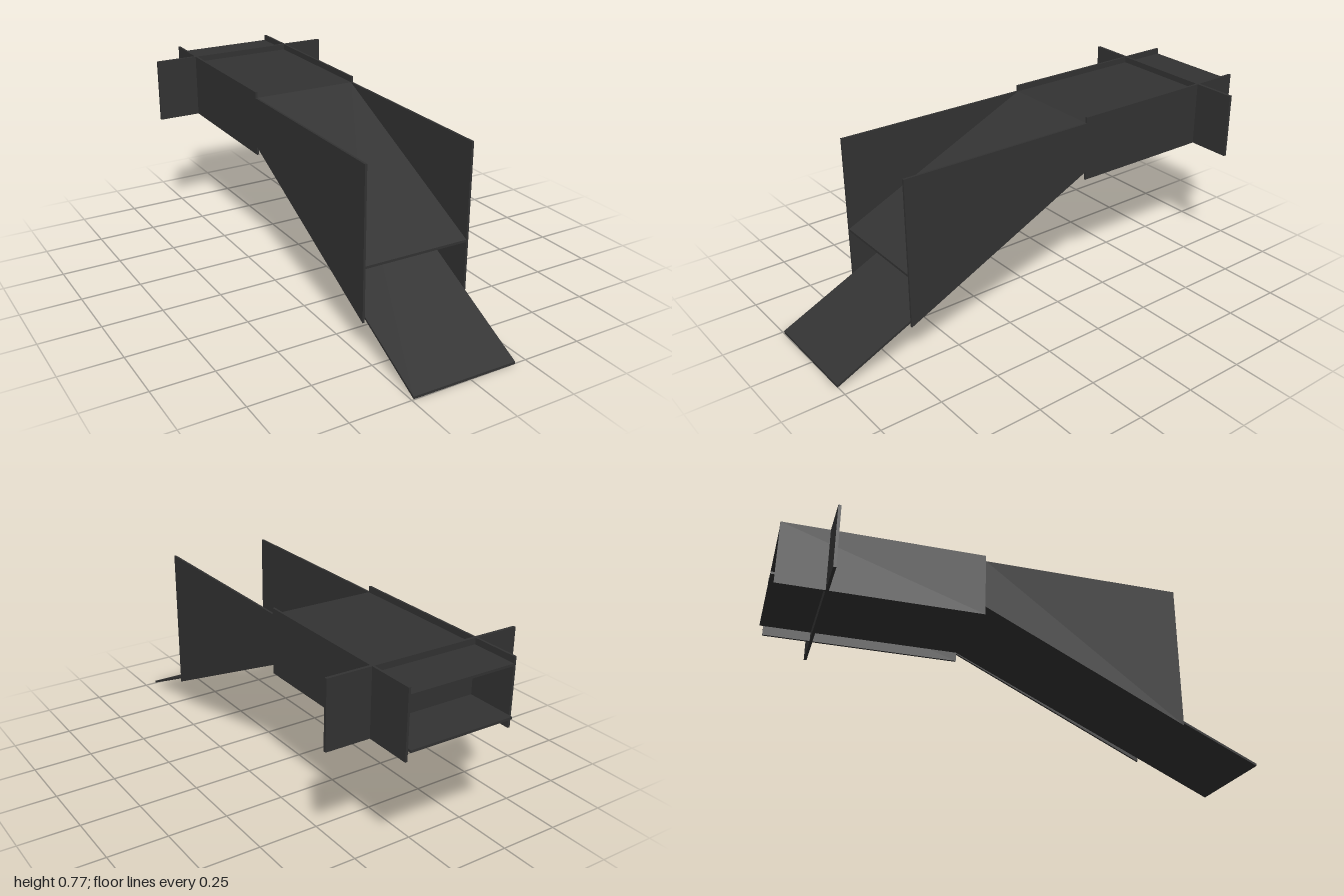
import * as THREE from 'three';

const material = new THREE.MeshStandardMaterial({ color: 0x333333, flatShading: true });

// Flat panel: a side profile of [z, y] points extruded across x and centred on x.
function panel(name, profile, width, x = 0) {
  const shape = new THREE.Shape(profile.map(([z, y]) => new THREE.Vector2(z, y)));
  const geometry = new THREE.ExtrudeGeometry(shape, { depth: width, bevelEnabled: false });
  geometry.translate(0, 0, -width / 2);
  geometry.rotateY(-Math.PI / 2);
  const mesh = new THREE.Mesh(geometry, material);
  mesh.name = name;
  mesh.position.x = x;
  return mesh;
}

// Thin sheet following a line from a to b, with vertical thickness t below it.
const sheet = (name, a, b, width, t = 0.01) =>
  panel(name, [a, b, [b[0], b[1] - t], [a[0], a[1] - t]], width);

export function createModel() {
  const group = new THREE.Group();
  group.name = 'chute';

  const inner = 0.44, wall = 0.009;
  const bend = -0.16, back = -0.985, lip = 0.68;

  // Horizontal duct floor and roof
  group.add(sheet('ductRoof', [back, 0.75], [bend, 0.75], inner));
  group.add(sheet('ductFloor', [-1, 0.555], [bend, 0.555], inner));

  // Sloping floor and the shorter parallel roof above it
  group.add(sheet('rampFloor', [bend, 0.555], [1, 0.01], inner));
  group.add(sheet('rampRoof', [bend, 0.75], [lip, 0.362], inner));

  // Side walls, mirrored
  for (const [side, s] of [['left', 1], ['right', -1]]) {
    const x = s * (inner + wall) / 2;
    group.add(panel(side + 'DuctWall',
      [[bend, 0.505], [bend, 0.775], [back, 0.775], [back, 0.505]], wall, x));
    group.add(panel(side + 'RampWall',
      [[lip, 0.135], [lip, 0.75], [bend, 0.75], [bend, 0.54]], wall, x));
  }

  // Cross plate closing the duct near its rear end
  const plate = new THREE.Mesh(new THREE.BoxGeometry(0.82, 0.27, 0.012), material);
  plate.name = 'crossPlate';
  plate.position.set(0, 0.64, -0.785);
  group.add(plate);

  // The assembly sits very slightly turned
  group.rotation.y = -0.012;
  group.position.x = -0.009;

  const model = new THREE.Group();
  model.name = 'model';
  model.add(group);
  return model;
}
